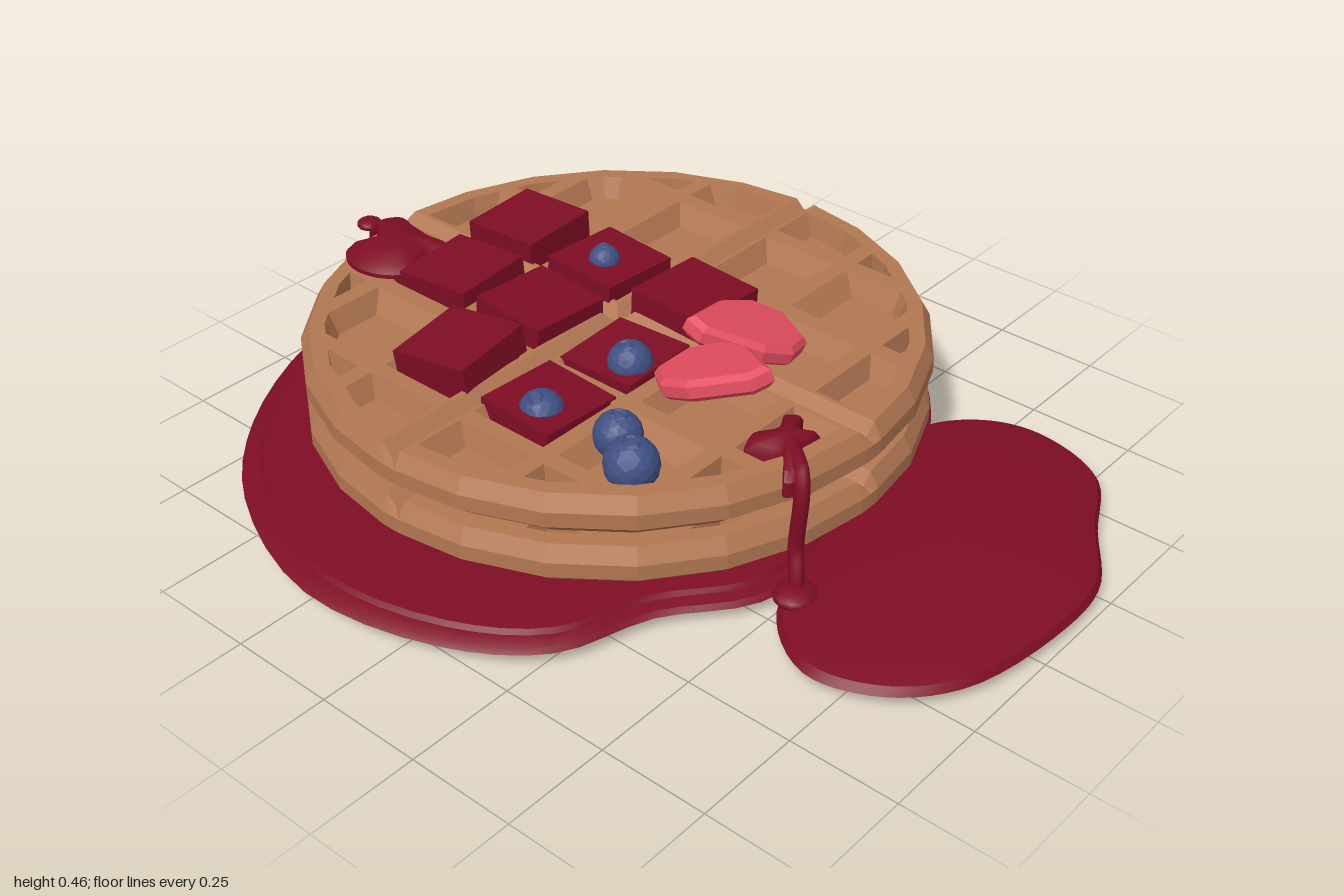
import * as THREE from 'three';
import { toCreasedNormals } from 'three/addons/utils/BufferGeometryUtils.js';

const V = (x, y, z) => new THREE.Vector3(x, y, z);
const flat = (name, color) => Object.assign(new THREE.MeshStandardMaterial({ color, flatShading: true }), { name });
const mats = {
  waffle: flat('waffle brown', 0xb27752),
  syrup: flat('syrup red', 0x7e0d24),
  blueberry: flat('blueberry blue', 0x405083),
  strawberry: flat('strawberry pink', 0xe34e60),
};
mats.syrup.flatShading = false;

function add(parent, name, geometry, material, pos = [0, 0, 0]) {
  const mesh = new THREE.Mesh(geometry, material);
  mesh.name = name;
  mesh.position.set(...pos);
  parent.add(mesh);
  return mesh;
}

// ---- Waffle: notched rim, four quadrants of tapered pockets, V-shaped cross groove ----
const H = 0.125, G = 0.026, NOTCH = 0.026;

// Point i of 32 round the rim; every eighth lies in the cross groove
function rimPoint(i, r) {
  const k = i % 8, q = Math.floor(i / 8) * Math.PI / 2, s = Math.asin(G / r);
  const a = q + (k === 0 ? 0 : k === 1 ? s : k === 7 ? Math.PI / 2 - s : (k - 1) * Math.PI / 12);
  return [r * Math.cos(a), r * Math.sin(a)];
}

// Keep the part of a convex polygon inside the round border
function clipToRim(poly, radius) {
  for (let k = 0; k < 6; k++) {
    const a = (k + 0.5) * Math.PI / 12, d = radius * Math.cos(Math.PI / 24);
    const dist = p => p.x * Math.cos(a) + p.y * Math.sin(a) - d;
    const out = [];
    poly.forEach((p, i) => {
      const n = poly[(i + 1) % poly.length], dp = dist(p), dn = dist(n);
      if (dp <= 0) out.push(p);
      if (dp * dn < 0) out.push(p.clone().lerp(n, dp / (dp - dn)));
    });
    poly = out;
  }
  return poly;
}

function waffleGeometry() {
  const pos = [];
  // Triangle turned to face the hint direction
  const tri = (a, b, c, hint) => {
    const n = b.clone().sub(a).cross(c.clone().sub(a));
    for (const p of n.dot(hint) < 0 ? [a, c, b] : [a, b, c]) pos.push(p.x, p.y, p.z);
  };
  const quad = (a, b, c, d, hint) => { tri(a, b, c, hint); tri(a, c, d, hint); };

  // Chamfered outer edge
  const profile = [[0.635, 0, NOTCH], [0.7, 0.055, 0], [0.7, 0.09, 0], [0.68, H, -NOTCH]];
  const rim = (i, j) => {
    const [r, y, drop] = profile[j], [x, z] = rimPoint(i % 32, r);
    return V(x, y + (i % 8 ? 0 : drop), z);
  };
  for (let i = 0; i < 32; i++) for (let j = 0; j < 3; j++) {
    const a = rim(i, j);
    quad(a, rim(i + 1, j), rim(i + 1, j + 1), rim(i, j + 1), V(a.x, 0, a.z));
  }

  // Pocket openings of one quadrant
  const spans = [[0.036, 0.232], [0.272, 0.482], [0.522, 0.68]];
  const cells = (border) => {
    const list = [];
    for (const [x0, x1] of spans) for (const [z0, z1] of spans) {
      const p = clipToRim([[x0, z0], [x1, z0], [x1, z1], [x0, z1]].map(c => new THREE.Vector2(...c)), border);
      if (p.length > 2 && Math.abs(THREE.ShapeUtils.area(p)) > 0.003) list.push(p);
    }
    return list;
  };

  // Upper and lower faces
  for (const [r, y, s] of [[0.68, H, 1], [0.635, 0, -1]]) {
    const hint = V(0, s, 0), holes = cells(r - 0.035);
    const contour = [new THREE.Vector2(G, G)];
    for (let i = 1; i < 8; i++) contour.push(new THREE.Vector2(...rimPoint(i, r)));
    const faces = THREE.ShapeUtils.triangulateShape(contour, holes);
    const all = [contour, ...holes].flat();
    for (let q = 0; q < 4; q++) {
      const c = Math.round(Math.cos(q * Math.PI / 2)), n = Math.round(Math.sin(q * Math.PI / 2));
      const at = (p, h) => V(p.x * c - p.y * n, h, p.x * n + p.y * c);
      for (const f of faces) tri(...f.map(k => at(all[k], y)), hint);
      for (const hole of holes) {
        const mid = hole.reduce((m, p) => m.add(p), new THREE.Vector2()).divideScalar(hole.length);
        const low = hole.map(p => p.clone().lerp(mid, 0.26)), fy = y - s * 0.05;
        hole.forEach((p, i) => {
          const k = (i + 1) % hole.length;
          quad(at(p, y), at(hole[k], y), at(low[k], fy), at(low[i], fy), hint);
          tri(at(low[i], fy), at(low[k], fy), at(mid, fy), hint);
        });
      }
      // One arm of the cross groove
      const e = Math.sqrt(r * r - G * G), dy = y - s * NOTCH;
      for (const m of [1, -1]) quad(at({ x: G, y: m * G }, y), at({ x: e, y: m * G }, y),
        at({ x: r, y: 0 }, dy), at({ x: 0, y: 0 }, dy), hint);
    }
  }
  const g = new THREE.BufferGeometry();
  g.setAttribute('position', new THREE.Float32BufferAttribute(pos, 3));
  g.computeVertexNormals();
  return g;
}

// ---- Syrup puddle: a smooth outline stacked through [scale, height] steps ----
function puddleGeometry(outline, profile, n = 72) {
  const curve = new THREE.CatmullRomCurve3(outline.map(([x, z]) => V(x, 0, z)), true);
  const ring = curve.getPoints(n).slice(0, n);
  const mid = ring.reduce((m, p) => m.add(p), V(0, 0, 0)).divideScalar(n);
  const pos = [], idx = [];
  profile.forEach(([s, y], j) => ring.forEach((p, i) => {
    pos.push(mid.x + (p.x - mid.x) * s, y, mid.z + (p.z - mid.z) * s);
    if (j === profile.length - 1) return;
    const a = j * n + i, b = j * n + (i + 1) % n;
    if (s > 0) idx.push(a, b, b + n);
    if (profile[j + 1][0] > 0) idx.push(a, b + n, a + n);
  }));
  const g = new THREE.BufferGeometry();
  g.setAttribute('position', new THREE.Float32BufferAttribute(pos, 3));
  g.setIndex(idx);
  return toCreasedNormals(g, 0.5);
}

const tube = (pts, r) => new THREE.TubeGeometry(new THREE.CatmullRomCurve3(pts.map(p => V(...p))), 28, r, 8);

// Flat berry slice from its wide end to its tip
function strawberrySlice(parent, butt, tip, side) {
  const s = new THREE.Shape();
  s.moveTo(0, -0.045);
  [[0.06, -0.085], [0.13, -0.08], [0.25, -0.02], [0.26, 0.015], [0.14, 0.08], [0.06, 0.085], [0, 0.045]]
    .forEach(p => s.lineTo(...p));
  const g = new THREE.ExtrudeGeometry(s, { depth: 0.025, bevelSize: 0.012, bevelThickness: 0.012, bevelSegments: 1 });
  const x = V(...tip).sub(V(...butt)).normalize();
  const z = x.clone().cross(V(...side)).normalize();
  g.applyMatrix4(new THREE.Matrix4().makeBasis(x, z.clone().cross(x), z));
  add(parent, 'strawberrySlice', g, mats.strawberry, butt);
}

export function createModel() {
  const model = new THREE.Group();
  model.name = 'waffleStack';

  const waffle = waffleGeometry();
  add(model, 'lowerWaffle', waffle, mats.waffle, [-0.17, 0.075, -0.045]);
  add(model, 'upperWaffle', waffle, mats.waffle, [-0.17, 0.2, -0.045]);

  // Puddles under and beside the stack
  add(model, 'mainPuddle', puddleGeometry([[-0.13, -0.845], [-0.5, -0.79], [-0.655, -0.64], [-0.76, -0.41],
    [-0.93, -0.24], [-1, -0.05], [-0.96, 0.21], [-0.8, 0.51], [-0.585, 0.71], [-0.24, 0.835], [0.08, 0.775],
    [0.27, 0.64], [0.35, 0.43], [0.48, 0.25], [0.5, 0], [0.43, -0.4], [0.27, -0.64], [0.08, -0.8]],
  [[0, 0.034], [1, 0.034], [0.985, 0.044], [0.95, 0.05], [0.94, 0.06], [0.8, 0.07], [0, 0.074]]), mats.syrup);
  add(model, 'sidePuddle', puddleGeometry([[0.59, -0.625], [0.47, -0.59], [0.375, -0.48], [0.36, -0.25], [0.46, 0.08],
    [0.535, 0.27], [0.68, 0.365], [0.83, 0.32], [0.94, 0.19], [0.99, -0.08], [0.975, -0.24], [0.875, -0.4], [0.77, -0.57]],
  [[0, 0.034], [1, 0.034], [0.97, 0.05], [0.85, 0.062], [0.6, 0.066], [0, 0.068]]), mats.syrup);

  // Splashes on the top edge with drips running down
  const splash = [[0, 0.3], [1, 0.3], [1, 0.335], [0.85, 0.352], [0.4, 0.366], [0, 0.368]];
  add(model, 'rightSplash', puddleGeometry([[-0.77, 0], [-0.83, -0.01], [-0.86, 0.04], [-0.8, 0.1], [-0.82, 0.17],
    [-0.76, 0.21], [-0.68, 0.2], [-0.63, 0.15], [-0.65, 0.07], [-0.63, 0.01], [-0.7, 0.01]], splash), mats.syrup);
  add(model, 'leftSplash', puddleGeometry([[0.38, 0], [0.35, 0.02], [0.37, 0.07], [0.34, 0.13], [0.36, 0.165],
    [0.44, 0.15], [0.49, 0.2], [0.51, 0.16], [0.45, 0.11], [0.45, 0.03], [0.41, 0.04]],
  splash.map(([s, y]) => [s, y - 0.025])), mats.syrup);
  add(model, 'rightDrip', tube([[-0.78, 0.335, 0.05], [-0.86, 0.325, 0.04], [-0.88, 0.28, 0.035], [-0.885, 0.14, 0.035],
    [-0.905, 0.1, 0.03], [-0.91, 0.04, 0.03]], 0.014), mats.syrup);
  add(model, 'leftDrip', tube([[0.43, 0.325, 0.1], [0.5, 0.32, 0.16], [0.515, 0.28, 0.175], [0.51, 0.15, 0.18],
    [0.525, 0.1, 0.195], [0.535, 0.04, 0.21]], 0.017), mats.syrup);
  const drops = [[-0.95, 0.026, 0.03, 0.05, 0.026, 0.045], [-0.895, 0.32, 0.035, 0.03, 0.014, 0.03],
    [0.535, 0.06, 0.21, 0.045, 0.02, 0.05]];
  for (const [x, y, z, ...size] of drops)
    add(model, 'syrupDrop', new THREE.SphereGeometry(1, 12, 8), mats.syrup, [x, y, z]).scale.set(...size);

  // Syrup cubes filling pockets: x, z, top height, tilt
  const cubes = [[-0.56, -0.17, 0.375, 0.03], [-0.31, -0.17, 0.36, -0.04], [-0.055, -0.17, 0.375, -0.03],
    [-0.54, 0.07, 0.36, 0.05], [-0.3, 0.07, 0.365, -0.04], [-0.045, 0.07, 0.332, 0.03],
    [-0.3, 0.31, 0.375, 0.1], [-0.045, 0.31, 0.335, -0.03]];
  for (const [x, z, top, tilt] of cubes) {
    const g = new THREE.BoxGeometry(0.195, top - 0.27, 0.2);
    const m = add(model, 'syrupCube', g, mats.syrup, [x, (top + 0.27) / 2, z]);
    m.rotation.set(tilt * 0.7, tilt, tilt);
  }

  // Blueberries with a small raised crown: x, y, z, radius
  const berries = [[-0.31, 0.36, -0.155, 0.036], [-0.005, 0.335, 0.1, 0.05], [-0.035, 0.318, 0.34, 0.05],
    [0.145, 0.325, 0.305, 0.053], [0.235, 0.327, 0.365, 0.059]];
  berries.forEach(([x, y, z, r], i) => {
    const berry = new THREE.Group();
    berry.name = 'blueberry';
    berry.position.set(x, y, z);
    berry.rotation.set(0.15 * (i % 3), i, 0.1);
    add(berry, 'berryBody', new THREE.IcosahedronGeometry(r, 2), mats.blueberry);
    const crown = add(berry, 'berryCrown', new THREE.TorusGeometry(r * 0.3, r * 0.1, 4, 6), mats.blueberry, [0, r * 0.93, 0]);
    crown.rotation.x = Math.PI / 2;
    model.add(berry);
  });

  strawberrySlice(model, [0.165, 0.33, -0.235], [0.09, 0.425, 0.01], [-0.95, 0.25, -0.1]);
  strawberrySlice(model, [0.1, 0.335, 0.065], [0.35, 0.425, 0.09], [0, 0.05, -1]);
  return model;
}
